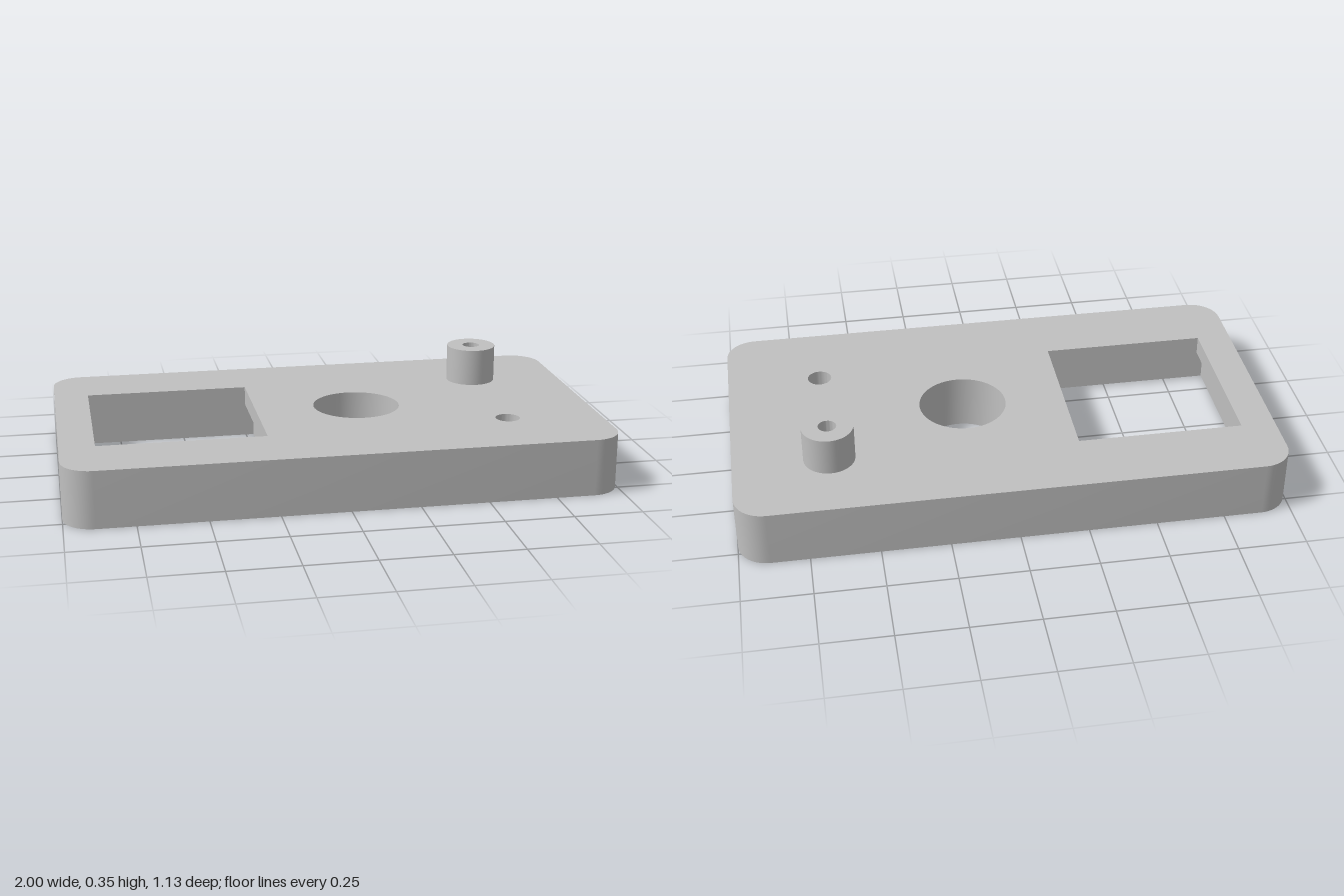
import * as THREE from 'three';
import { mergeGeometries, toCreasedNormals } from 'three/addons/utils/BufferGeometryUtils.js';

// Outlines are counter-clockwise lists of points in plan, with plan y = -z.
function circle(x, z, r, n = 48) {
  return Array.from({ length: n }, (_, i) => {
    const a = (i / n) * Math.PI * 2;
    return new THREE.Vector2(x + r * Math.cos(a), -z + r * Math.sin(a));
  });
}

function square(x, z, h) {
  return [[-1, -1], [1, -1], [1, 1], [-1, 1]].map(([i, j]) => new THREE.Vector2(x + i * h, -z + j * h));
}

function roundedRect(w, d, r, n = 12) {
  const points = [];
  [[1, -1], [1, 1], [-1, 1], [-1, -1]].forEach(([i, j], k) => {
    for (let s = 0; s <= n; s++) {
      const a = (k - 1 + s / n) * Math.PI / 2;
      points.push(new THREE.Vector2(i * (w - r) + r * Math.cos(a), j * (d - r) + r * Math.sin(a)));
    }
  });
  return points;
}

// Flat horizontal face at height y, with holes, facing up or down
function face(outline, holes, y, up = true) {
  const shape = new THREE.Shape(outline);
  shape.holes = holes.map((h) => new THREE.Path(h));
  const g = new THREE.ShapeGeometry(shape);
  if (!up) {
    g.index.array.reverse();
    g.computeVertexNormals();
  }
  g.rotateX(-Math.PI / 2).translate(0, y, 0);
  g.deleteAttribute('uv');
  return g.toNonIndexed();
}

// Vertical wall along an outline, facing outward or (for holes) inward
function wall(outline, y0, y1, inward = false) {
  const pos = [];
  outline.forEach((p, i) => {
    const q = outline[(i + 1) % outline.length];
    const [a, b] = inward ? [q, p] : [p, q];
    pos.push(a.x, y0, -a.y, b.x, y0, -b.y, b.x, y1, -b.y);
    pos.push(a.x, y0, -a.y, b.x, y1, -b.y, a.x, y1, -a.y);
  });
  const g = new THREE.BufferGeometry();
  g.setAttribute('position', new THREE.Float32BufferAttribute(pos, 3));
  return toCreasedNormals(g, 0.6);
}

export function createModel() {
  const model = new THREE.Group();
  model.name = 'mountingPlate';
  const grey = new THREE.MeshStandardMaterial({ color: 0xc0c0c0 });
  grey.name = 'grey';

  const add = (name, parts) => {
    const mesh = new THREE.Mesh(mergeGeometries(parts), grey);
    mesh.name = name;
    model.add(mesh);
  };

  const top = 0.21, ledge = 0.14, boreTop = 0.09, postTop = 0.35;
  const rim = roundedRect(1, 0.565, 0.11);
  const window = square(-0.565, 0, 0.307);
  const recess = square(-0.565, 0, 0.345);
  const bigHole = circle(0.128, 0, 0.163, 64);
  const screwHole = circle(0.65, 0.258, 0.045);
  const counterbore = circle(0.65, 0.258, 0.082);
  const postOuter = circle(0.65, -0.265, 0.094);
  const postHole = circle(0.65, -0.265, 0.033);

  // Plate with rounded corners
  add('plate', [
    wall(rim, 0, top),
    face(rim, [window, bigHole, screwHole, postOuter], top),
    face(rim, [recess, bigHole, counterbore, postHole], 0, false),
  ]);

  // Square window, wider below the lip
  add('windowOpening', [
    wall(window, ledge, top, true),
    face(recess, [window], ledge, false),
    wall(recess, 0, ledge, true),
  ]);

  // Large round through hole
  add('roundOpening', [wall(bigHole, 0, top, true)]);

  // Screw hole counterbored from underneath
  add('screwHole', [
    wall(screwHole, boreTop, top, true),
    face(counterbore, [screwHole], boreTop, false),
    wall(counterbore, 0, boreTop, true),
  ]);

  // Hollow post, bored through the plate
  add('post', [
    wall(postOuter, top, postTop),
    face(postOuter, [postHole], postTop),
    wall(postHole, 0, postTop, true),
  ]);

  return model;
}
